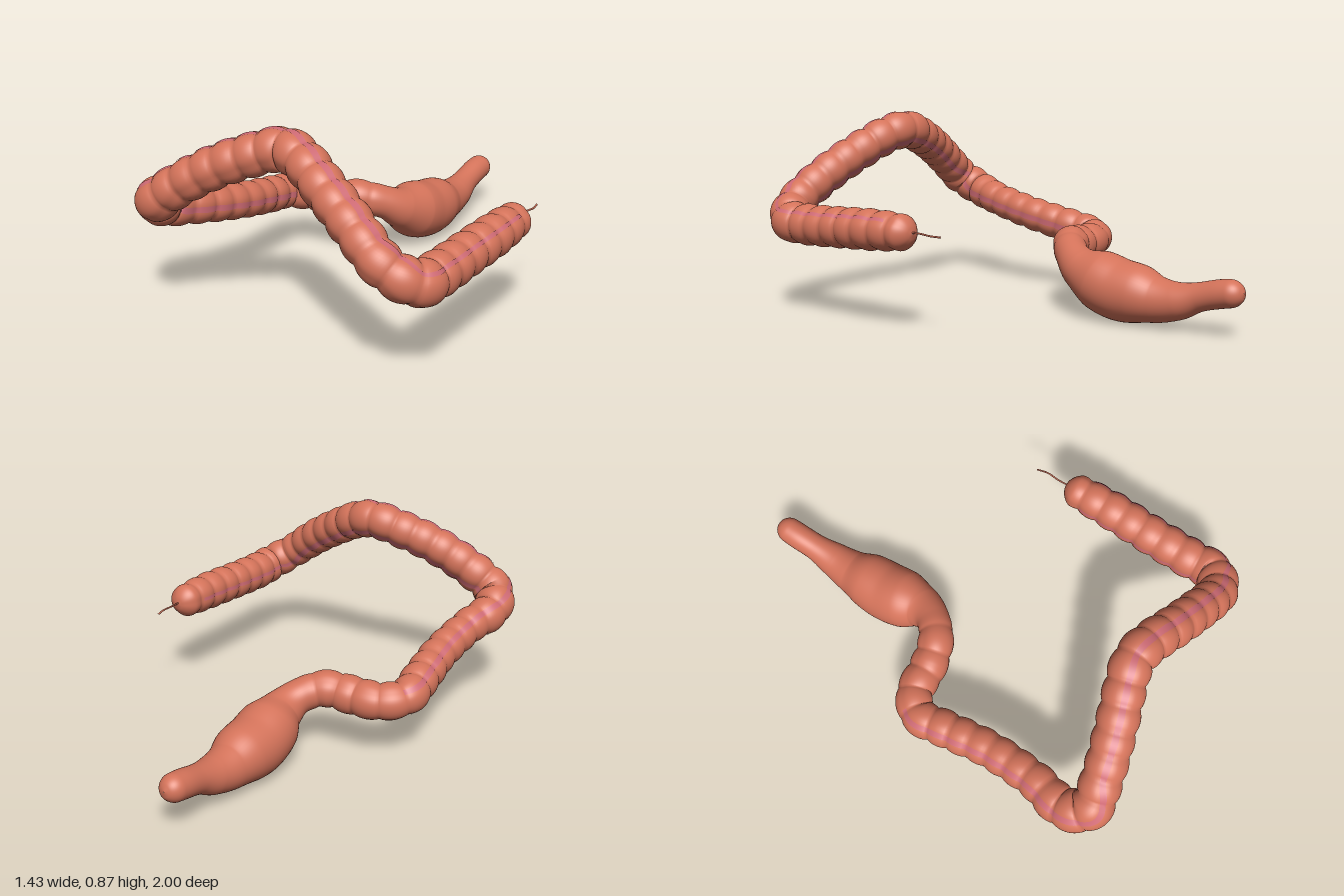
import * as THREE from 'three';

// Centre line stations: x, y, z, outer radius
const ASCENDING = [
  [0.615, 0.43, 0.06, 0.064], [0.616, 0.43, 0.14, 0.08], [0.62, 0.425, 0.3, 0.089],
  [0.618, 0.415, 0.5, 0.09], [0.619, 0.408, 0.7, 0.092], [0.614, 0.418, 0.82, 0.092],
];
const TRANSVERSE = [
  [0.52, 0.485, 0.885, 0.088], [0.36, 0.6, 0.86, 0.09], [0.2, 0.695, 0.815, 0.09], [0.06, 0.765, 0.77, 0.09],
  [-0.035, 0.785, 0.752, 0.09], [-0.13, 0.76, 0.775, 0.09], [-0.3, 0.692, 0.835, 0.09], [-0.46, 0.6, 0.885, 0.09],
];
const DESCENDING = [
  [-0.588, 0.505, 0.905, 0.093], [-0.63, 0.448, 0.82, 0.09], [-0.592, 0.405, 0.65, 0.082], [-0.577, 0.355, 0.42, 0.082],
  [-0.598, 0.31, 0.2, 0.084], [-0.605, 0.285, 0.07, 0.082],
];
const SIGMOID = [[-0.525, 0.272, 0.0, 0.084], [-0.4, 0.272, -0.015, 0.086], [-0.285, 0.285, -0.05, 0.082]];
const RECTUM = [
  [-0.2, 0.255, -0.125, 0.075], [-0.168, 0.212, -0.2, 0.094], [-0.168, 0.172, -0.3, 0.131], [-0.172, 0.141, -0.4, 0.135],
  [-0.172, 0.134, -0.5, 0.127], [-0.175, 0.122, -0.6, 0.099], [-0.175, 0.13, -0.7, 0.08],
  [-0.18, 0.16, -0.8, 0.061], [-0.185, 0.185, -0.9, 0.06], [-0.185, 0.2, -1.0, 0.056],
];

// Tag every station with pouch depth and the turn of the muscle bands
const tag = (list, pouch, turn) => list.map((p) => ({ pos: new THREE.Vector3(p[0], p[1], p[2]), info: new THREE.Vector3(p[3], pouch, turn) }));
const stations = [
  ...tag(ASCENDING, 1, 0.75), ...tag(TRANSVERSE, 1, 1.5), ...tag(DESCENDING, 1, 0.85),
  ...tag(SIGMOID, 0.85, 0.85), ...tag(RECTUM, 0, 0.85),
];
const STEPS = 560, SIDES = 48, PITCH = 0.097;
// Angles of the outer, inner and lower band around the tube
const BANDS = [0, 2.3, 4.4];

// Sample centre line, frame, radius and arc length along the gut
function sampleGut() {
  const path = new THREE.CatmullRomCurve3(stations.map((s) => s.pos));
  const info = new THREE.CatmullRomCurve3(stations.map((s) => s.info), false, 'catmullrom', 0.4);
  const rings = [];
  let length = 0;
  for (let i = 0; i <= STEPS; i++) {
    const u = i / STEPS;
    const p = path.getPoint(u), t = path.getTangent(u), v = info.getPoint(u);
    if (i) length += p.distanceTo(rings[i - 1].p);
    const n = new THREE.Vector3(0, 1, 0).cross(t).normalize();
    const b = t.clone().cross(n);
    rings.push({ p, n, b, r: v.x, pouch: THREE.MathUtils.clamp(v.y, 0, 1), turn: v.z, s: length });
  }
  for (const ring of rings) {
    // Rounded ends
    const d = Math.min(ring.s, length - ring.s), cap = 0.06;
    if (d < cap) ring.r *= Math.sqrt(Math.max(0.0004, 1 - (1 - d / cap) ** 2));
    // Pouches separated by sharp constrictions
    const bulge = Math.abs(Math.sin(Math.PI * ring.s / PITCH)) ** 0.65;
    const depth = ring.s < PITCH / 2 ? 0 : 0.15 * ring.pouch;
    ring.r *= 1 - depth * (1 - bulge);
  }
  return rings;
}

// Surface point, drawn in slightly along the three bands
function surfacePoint(ring, angle, lift = 0) {
  const c = Math.max(0, ...BANDS.map((a) => Math.cos(angle - ring.turn - a)));
  const r = ring.r * (1 - 0.04 * ring.pouch * c ** 30) + lift;
  return ring.p.clone().addScaledVector(ring.n, r * Math.cos(angle)).addScaledVector(ring.b, r * Math.sin(angle));
}

// Join equal rows of points into a smooth skin
function skin(rows, closed) {
  const w = rows[0].length, index = [], pos = [];
  rows.forEach((row) => row.forEach((p) => pos.push(p.x, p.y, p.z)));
  for (let i = 0; i < rows.length - 1; i++) {
    for (let j = 0; j < (closed ? w : w - 1); j++) {
      const k = (j + 1) % w, a = i * w + j, c = i * w + k;
      index.push(a, c, a + w, c, c + w, a + w);
    }
  }
  const g = new THREE.BufferGeometry();
  g.setAttribute('position', new THREE.Float32BufferAttribute(pos, 3));
  g.setIndex(index);
  g.computeVertexNormals();
  return g;
}

export function createModel() {
  const group = new THREE.Group();
  group.name = 'largeIntestine';
  const flesh = new THREE.MeshStandardMaterial({ color: 0xd4735a });
  flesh.name = 'flesh';
  const pink = new THREE.MeshStandardMaterial({ color: 0xce6a74 });
  pink.name = 'bandPink';
  const add = (name, geometry, material) => {
    const mesh = new THREE.Mesh(geometry, material);
    mesh.name = name;
    group.add(mesh);
  };

  // Main tube from cecum to rectum
  const rings = sampleGut();
  const rows = rings.map((ring) => Array.from({ length: SIDES }, (_, j) => surfacePoint(ring, (j / SIDES) * Math.PI * 2)));
  add('colonWall', skin(rows, true), flesh);

  // Thin muscle bands, narrower on the ascending part
  const pouched = rings.filter((ring) => ring.s > 0.1 && ring.pouch > 0.97);
  const addBand = (name, angle, part) => {
    const strip = part.map((ring) => {
      const half = 0.16 - 0.06 * THREE.MathUtils.smoothstep(ring.p.x, 0.5, 0.61);
      return [-1, -0.5, 0, 0.5, 1].map((d) => surfacePoint(ring, ring.turn + angle + d * half, 0.0025));
    });
    add(name, skin(strip, false), pink);
  };
  addBand('outerBand', BANDS[0], pouched);
  addBand('innerBand', BANDS[1], pouched);
  addBand('lowerBand', BANDS[2], pouched.filter((ring) => ring.p.x < -0.5 && ring.p.y < 0.46));

  // Thread-like appendix at the closed end
  const thread = new THREE.CatmullRomCurve3([
    [0.615, 0.435, 0.08], [0.612, 0.435, 0.02], [0.617, 0.432, -0.04], [0.606, 0.43, -0.09],
  ].map((p) => new THREE.Vector3(...p)));
  add('appendix', new THREE.TubeGeometry(thread, 24, 0.004, 8), flesh);

  return group;
}
